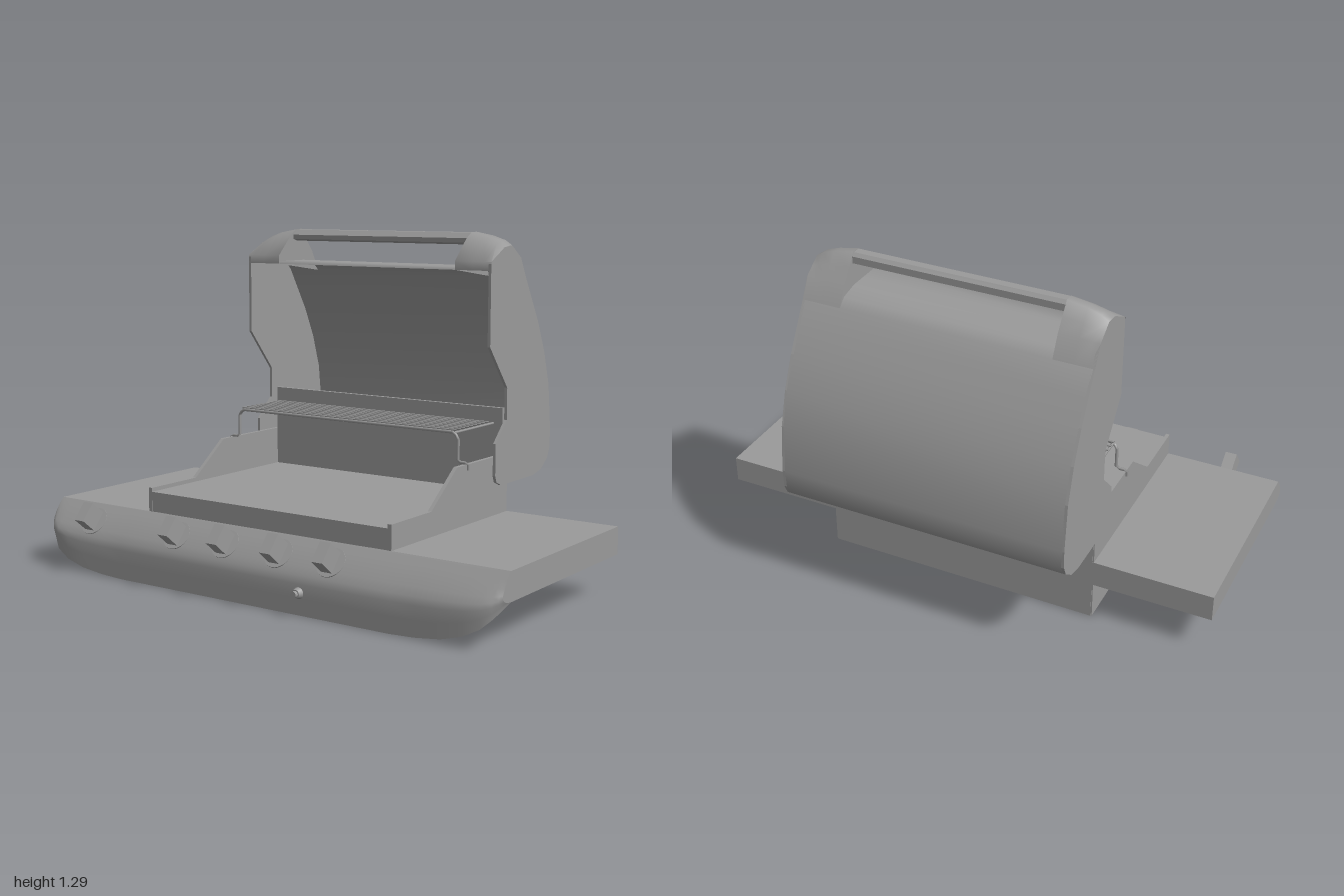
import * as THREE from 'three';
import { toCreasedNormals } from 'three/addons/utils/BufferGeometryUtils.js';

const grey = new THREE.MeshStandardMaterial({ color: 0x9a9a9a, side: THREE.DoubleSide });

export function createModel() {
  const model = new THREE.Group();

  const add = (name, geometry, parent = model) => {
    const mesh = new THREE.Mesh(geometry, grey);
    mesh.name = name;
    parent.add(mesh);
    return mesh;
  };

  // box given by its limits
  const box = (name, x0, x1, y0, y1, z0, z1, parent) => {
    const g = new THREE.BoxGeometry(x1 - x0, y1 - y0, z1 - z0);
    g.translate((x0 + x1) / 2, (y0 + y1) / 2, (z0 + z1) / 2);
    return add(name, g, parent);
  };

  const outlineShape = outline => new THREE.Shape(outline.map(([z, y]) => new THREE.Vector2(z, y)));

  // flat plate with a [z, y] outline, lying between x0 and x1
  const plate = (name, outline, x0, x1) => {
    const g = new THREE.ExtrudeGeometry(outlineShape(outline), { depth: x1 - x0, bevelEnabled: false });
    g.rotateY(-Math.PI / 2);
    g.translate(x1, 0, 0);
    return add(name, g);
  };

  // single face with a [z, y] outline at x
  const face = (outline, x) => {
    const g = new THREE.ShapeGeometry(outlineShape(outline));
    g.rotateY(-Math.PI / 2);
    g.translate(x, 0, 0);
    return g;
  };

  // skin over [z, y] sections placed at stations along x
  const loft = (xs, sections) => {
    const pos = [], index = [], n = sections[0].length;
    xs.forEach((x, i) => sections[i].forEach(([z, y]) => pos.push(x, y, z)));
    for (let i = 0; i < xs.length - 1; i++) {
      for (let j = 0; j < n - 1; j++) {
        const a = i * n + j, b = a + n, c = a + 1, d = b + 1;
        index.push(c, d, a, d, b, a);
      }
    }
    const g = new THREE.BufferGeometry();
    g.setAttribute('position', new THREE.Float32BufferAttribute(pos, 3));
    g.setIndex(index);
    g.computeVertexNormals();
    return g;
  };

  // section part way between two others, with separate weights for z and y
  const blend = (from, to, wz, wy) => from.map(([z, y], i) => [z + (to[i][0] - z) * wz, y + (to[i][1] - y) * wy]);

  // round wire through points with sharp bends
  const wire = (name, points, radius, parent) => {
    const path = new THREE.CurvePath();
    const v = points.map(p => new THREE.Vector3(...p));
    for (let i = 1; i < v.length; i++) path.add(new THREE.LineCurve3(v[i - 1], v[i]));
    return add(name, new THREE.TubeGeometry(path, (v.length - 1) * 8, radius, 6), parent);
  };

  // ---- control panel: middle section curling up into the end section ----
  const middle = [[0.48, 0.25], [0.505, 0.225], [0.53, 0.197], [0.555, 0.165], [0.572, 0.138], [0.58, 0.11], [0.58, 0.06], [0.58, 0]];
  const end = [[0.48, 0.25], [0.503, 0.225], [0.52, 0.2], [0.53, 0.18], [0.53, 0.167], [0.52, 0.157], [0.503, 0.151], [0.48, 0.148]];
  const half = [[0.6, 0], [0.7, 0.03], [0.8, 0.11], [0.88, 0.26], [0.94, 0.47], [0.975, 0.7], [0.992, 0.88], [1, 1]];
  const stations = [...half.map(([x, k]) => [-x, k]).reverse(), ...half];
  add('controlPanel', loft(stations.map(s => s[0]), stations.map(([, k]) => blend(middle, end, k ** 3, k))));
  for (const s of [-1, 1]) add('panelEnd', face(end, s));

  // ---- side shelves and open-bottomed firebox ----
  const sideOutline = [
    [0.575, 0], [0.575, 0.11], [0.53, 0.19], [0.48, 0.245], [0.48, 0.34], [0.23, 0.34],
    [0.06, 0.47], [-0.3, 0.47], [-0.3, 0],
  ];
  for (const s of [-1, 1]) {
    box('sideShelf', s < 0 ? -1 : 0.46, s < 0 ? -0.46 : 1, 0.148, 0.25, -0.302, 0.48);
    plate('fireboxSide', sideOutline, s < 0 ? -0.545 : 0.53, s < 0 ? -0.53 : 0.545);
  }
  box('fireboxBack', -0.54, 0.54, 0, 0.47, -0.302, -0.29);
  box('cookingSurface', -0.535, 0.535, 0.249, 0.325, -0.295, 0.479);
  box('backPlate', -0.53, 0.53, 0.325, 0.64, -0.302, -0.285);

  // ---- open lid ----
  const backCurve = [
    [-0.48, 0.36], [-0.545, 0.375], [-0.595, 0.412], [-0.612, 0.45], [-0.615, 0.52], [-0.595, 0.7],
    [-0.555, 0.83], [-0.5, 0.95], [-0.45, 1.035], [-0.4, 1.12],
  ];
  const lidOutline = [
    ...backCurve, [-0.36, 1.195], [-0.29, 1.243], [-0.235, 1.237], [-0.145, 1.19], [-0.14, 1.18],
    [-0.14, 0.88], [-0.27, 0.72], [-0.27, 0.6], [-0.19, 0.52], [-0.19, 0.4], [-0.2, 0.375], [-0.235, 0.36],
  ];
  plate('lidSide', lidOutline, 0.546, 0.557);
  plate('lidSide', lidOutline, -0.557, -0.546);
  const shell = [[-0.305, 0.36], ...backCurve, [-0.37, 1.15], [-0.3, 1.165], [-0.235, 1.165], [-0.145, 1.165], [-0.14, 1.155]];
  add('lidShell', toCreasedNormals(loft([-0.55, 0.55], [shell, shell]), 1.2));

  // raised corners of the lid that carry the handle
  const capOuter = [
    [-0.4, 1.12], [-0.36, 1.195], [-0.325, 1.219], [-0.29, 1.243], [-0.26, 1.241], [-0.225, 1.232], [-0.14, 1.187], [-0.14, 1.155],
  ];
  const capInner = [
    [-0.4, 1.12], [-0.36, 1.198], [-0.325, 1.243], [-0.29, 1.29], [-0.255, 1.288], [-0.22, 1.267], [-0.14, 1.187], [-0.14, 1.155],
  ];
  const capSections = [1, 0.72, 0.38, 0].map(t => blend(capOuter, capInner, t, t));
  const capSkin = toCreasedNormals(loft([0.405, 0.48, 0.53, 0.557], capSections), 1);
  const capFace = face(capInner, 0.405);
  for (const s of [-1, 1]) {
    const corner = new THREE.Group();
    corner.name = 'lidCorner';
    add('cornerSkin', capSkin, corner);
    add('cornerFace', capFace, corner);
    corner.scale.x = s;
    model.add(corner);
  }
  plate('lidHandle', [[-0.3, 1.25], [-0.3, 1.276], [-0.288, 1.288], [-0.255, 1.287], [-0.235, 1.267], [-0.237, 1.25], [-0.26, 1.243]], -0.41, 0.41);

  // ---- warming rack ----
  const rack = new THREE.Group();
  rack.name = 'warmingRack';
  model.add(rack);
  for (let i = 0; i < 9; i++) {
    const z = -0.018 - i * 0.0285;
    wire('rackBar', [[-0.495, 0.589, z], [0.495, 0.589, z]], 0.004, rack);
  }
  for (const x of [-0.49, 0, 0.49]) wire('rackCrossBar', [[x, 0.58, -0.01], [x, 0.58, -0.29]], 0.005, rack);
  const leg = [[0.549, 0.45], [0.549, 0.475], [0.505, 0.475], [0.505, 0.565], [0.485, 0.582]];
  wire('rackFrame', [
    ...leg.map(([x, y]) => [-x, y, -0.01]),
    ...leg.map(([x, y]) => [x, y, -0.01]).reverse(),
  ], 0.006, rack);

  // ---- knobs, tilted to the slope of the panel (local y points outward) ----
  for (const x of [-0.78, -0.36, -0.13, 0.11, 0.335]) {
    const knob = new THREE.Group();
    knob.name = 'knob';
    const bezel = add('knobBezel', new THREE.CylinderGeometry(0.056, 0.056, 0.006, 24), knob);
    bezel.position.y = -0.002;
    box('knobGrip', -0.023, 0.023, 0, 0.072, -0.04, 0.04, knob);
    knob.position.set(x, 0.192, 0.534);
    knob.rotation.x = 0.88;
    model.add(knob);
  }

  // ---- igniter button ----
  const igniter = new THREE.Group();
  igniter.name = 'igniterButton';
  const stem = add('igniterStem', new THREE.CylinderGeometry(0.012, 0.012, 0.04, 16), igniter);
  stem.position.y = 0.015;
  const head = add('igniterHead', new THREE.CylinderGeometry(0.016, 0.021, 0.018, 16), igniter);
  head.position.y = 0.014;
  igniter.position.set(0.235, 0.08, 0.58);
  igniter.rotation.x = Math.PI / 2;
  model.add(igniter);

  return model;
}
